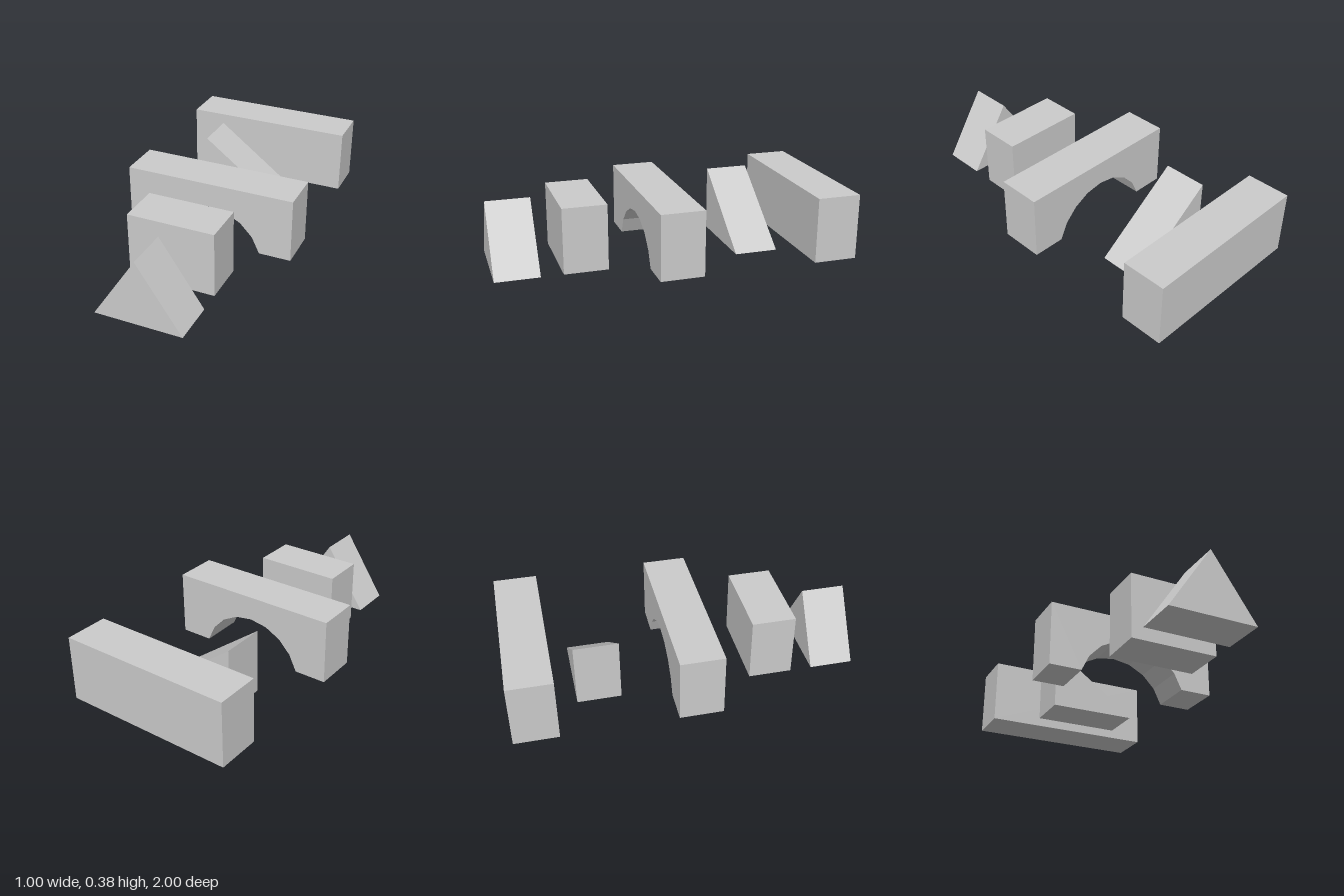
import * as THREE from 'three';

const H = 0.375; // height of every block
const D = 0.25; // depth of every block

export function createModel() {
  const model = new THREE.Group();
  const material = new THREE.MeshStandardMaterial({ color: 0xcccccc, flatShading: true });

  // Extrudes an outline in x, y to one block centred on z
  function addBlock(name, points, z) {
    const shape = new THREE.Shape(points.map(([x, y]) => new THREE.Vector2(x, y)));
    const geometry = new THREE.ExtrudeGeometry(shape, { depth: D, bevelEnabled: false });
    geometry.translate(0, 0, z - D / 2);
    const mesh = new THREE.Mesh(geometry, material);
    mesh.name = name;
    model.add(mesh);
  }

  const rectangle = (w) => [[-w / 2, 0], [w / 2, 0], [w / 2, H], [-w / 2, H]];

  // Faceted arch opening: a circular arc rising from the ground
  const halfSpan = 0.3125, rise = 0.235, segments = 8;
  const radius = (halfSpan ** 2 + rise ** 2) / (2 * rise);
  const sweep = Math.asin(halfSpan / radius);
  const opening = [];
  for (let i = 0; i <= segments; i++) {
    const a = sweep * (2 * i / segments - 1);
    opening.push([radius * Math.sin(a), Math.max(0, rise - radius * (1 - Math.cos(a)))]);
  }

  addBlock('roofPrism', [[-0.25, 0], [0.25, 0], [0, H]], 0.875);
  addBlock('shortBlock', rectangle(0.5), 0.5);
  addBlock('archBlock', [[-0.5, 0], ...opening, [0.5, 0], [0.5, H], [-0.5, H]], 0.03);
  addBlock('rampBlock', [[-0.25, 0], [0.25, 0], [-0.25, H]], -0.5);
  addBlock('longBlock', rectangle(1), -0.875);

  return model;
}
